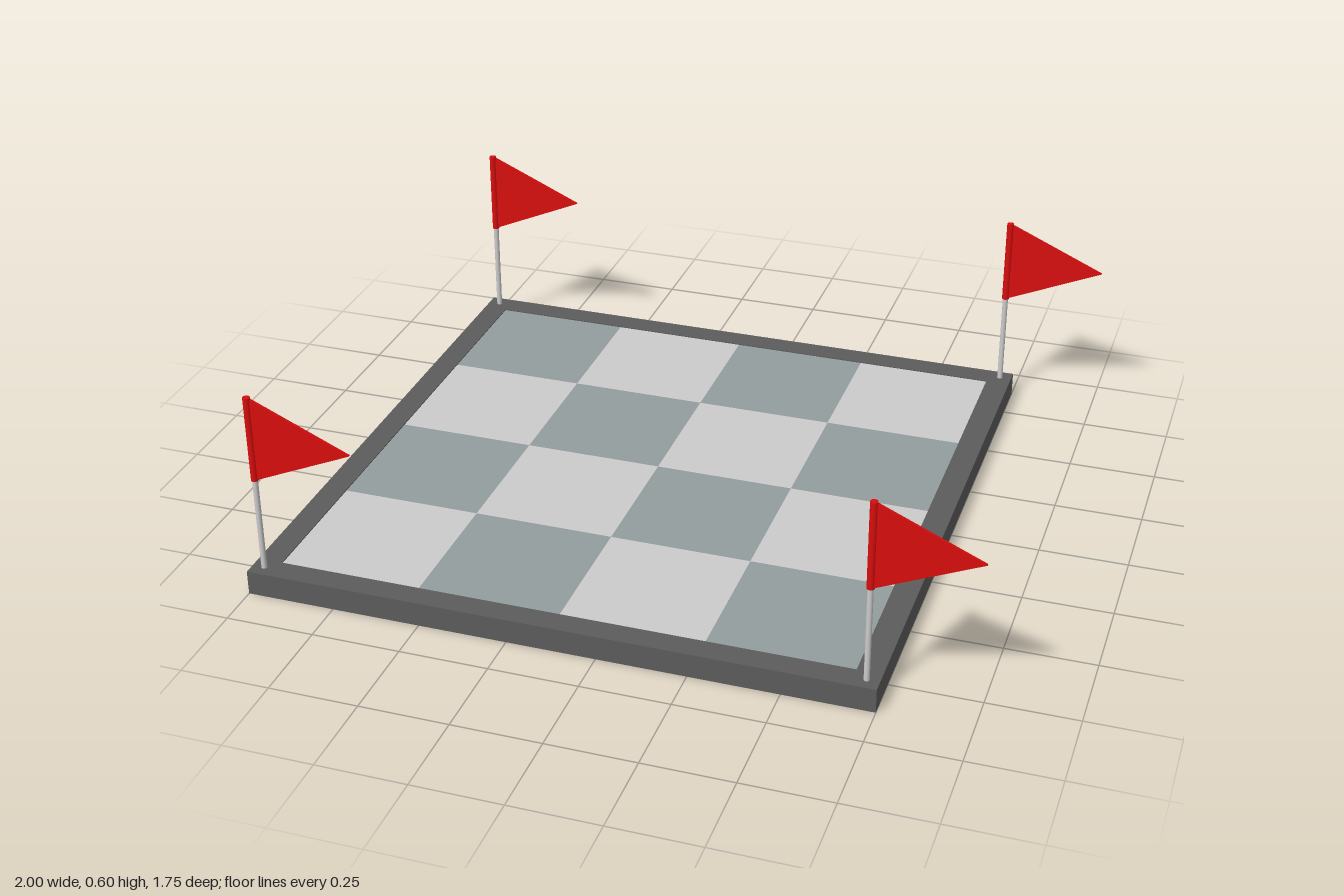
import * as THREE from 'three';

const mat = (color) => new THREE.MeshStandardMaterial({ color });

export function createModel() {
  const model = new THREE.Group();
  const frameMat = mat(0x5c5c5c), lightMat = mat(0xc0c0c0), darkMat = mat(0x939d9e);
  const poleMat = mat(0xcccccc), redMat = mat(0xd80d0d);
  const cx = -0.125, half = 0.875, rim = 0.07, height = 0.07;

  const add = (parent, name, geometry, material, x, y, z) => {
    const mesh = new THREE.Mesh(geometry, material);
    mesh.name = name;
    mesh.position.set(x, y, z);
    parent.add(mesh);
    return mesh;
  };

  // Square border with an open middle
  const square = (path, s) => path.moveTo(-s, -s).lineTo(s, -s).lineTo(s, s).lineTo(-s, s).closePath();
  const outline = new THREE.Shape();
  square(outline, half);
  const hole = new THREE.Path();
  square(hole, half - rim);
  outline.holes.push(hole);
  const frameGeo = new THREE.ExtrudeGeometry(outline, { depth: height, bevelEnabled: false });
  frameGeo.rotateX(-Math.PI / 2);
  add(model, 'frame', frameGeo, frameMat, cx, 0, 0);

  // Four by four chequered tiles
  const tile = (half - rim) / 2;
  const tileGeo = new THREE.BoxGeometry(tile, height - 0.006, tile);
  const tiles = new THREE.Group();
  tiles.name = 'tiles';
  model.add(tiles);
  for (let row = 0; row < 4; row++) {
    for (let col = 0; col < 4; col++) {
      const dark = (row + col) % 2 === 0;
      add(tiles, dark ? 'darkTile' : 'lightTile', tileGeo, dark ? darkMat : lightMat,
        cx + (col - 1.5) * tile, height / 2, (row - 1.5) * tile);
    }
  }

  // Corner flags: pole, sleeve and triangular pennant pointing to +x
  const top = 0.595, flagHeight = 0.25, thick = 0.008;
  const poleGeo = new THREE.CylinderGeometry(0.008, 0.008, top - height, 16);
  const sleeveGeo = new THREE.CylinderGeometry(0.0105, 0.0105, flagHeight, 16);
  const pennant = new THREE.Shape();
  pennant.moveTo(0, -flagHeight / 2).lineTo(0.285, 0).lineTo(0, flagHeight / 2).closePath();
  const pennantGeo = new THREE.ExtrudeGeometry(pennant, { depth: thick, bevelEnabled: false });
  pennantGeo.translate(0, 0, -thick / 2);
  const reach = half - rim / 2;
  for (const sx of [-1, 1]) {
    for (const sz of [-1, 1]) {
      const flag = new THREE.Group();
      flag.name = 'cornerFlag';
      flag.position.set(cx + sx * reach, 0, sz * reach);
      add(flag, 'pole', poleGeo, poleMat, 0, (top - 0.002 + height) / 2, 0);
      add(flag, 'sleeve', sleeveGeo, redMat, 0, top - flagHeight / 2, 0);
      add(flag, 'pennant', pennantGeo, redMat, 0, top - flagHeight / 2, 0);
      model.add(flag);
    }
  }
  return model;
}
